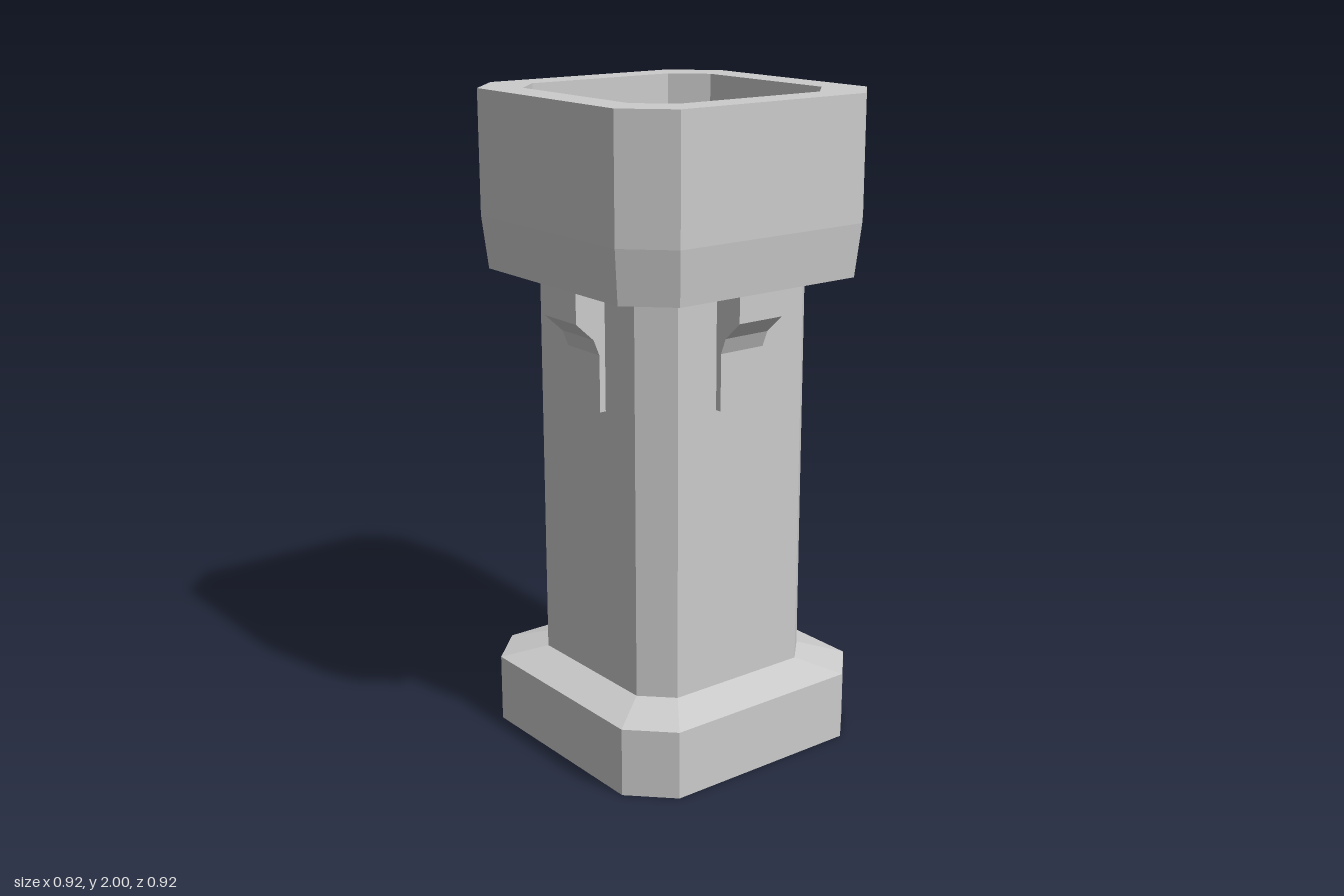
import * as THREE from 'three';

const material = new THREE.MeshStandardMaterial({
  color: 0xcccccc, flatShading: true, side: THREE.DoubleSide,
});

// Square with cut corners: half width a, half length of each straight side c
function octagon([a, c, y]) {
  return [[a, c], [c, a], [-c, a], [-a, c], [-a, -c], [-c, -a], [c, -a], [a, -c]]
    .map(([x, z]) => [x, y, z]);
}

// Shell joining a stack of octagons, each [half width, half side, height]
function shell(name, sections) {
  const rings = sections.map(octagon);
  const positions = [];
  for (let r = 0; r < rings.length - 1; r++) {
    for (let i = 0; i < 8; i++) {
      const j = (i + 1) % 8;
      const lower = rings[r], upper = rings[r + 1];
      positions.push(...lower[j], ...lower[i], ...upper[i]);
      positions.push(...lower[j], ...upper[i], ...upper[j]);
    }
  }
  const geometry = new THREE.BufferGeometry();
  geometry.setAttribute('position', new THREE.Float32BufferAttribute(positions, 3));
  geometry.computeVertexNormals();
  const mesh = new THREE.Mesh(geometry, material);
  mesh.name = name;
  return mesh;
}

// Support bracket: side profile (outward, up) extruded across its width
function bracketGeometry() {
  const profile = [[0.31, 1.115], [0.34, 1.115], [0.34, 1.285], [0.36, 1.333],
    [0.42, 1.387], [0.42, 1.485], [0.31, 1.485]];
  const shape = new THREE.Shape(profile.map(([x, y]) => new THREE.Vector2(x, y)));
  const width = 0.156;
  const geometry = new THREE.ExtrudeGeometry(shape, { depth: width, bevelEnabled: false });
  geometry.translate(0, 0, -width / 2);
  return geometry;
}

export function createModel() {
  const tower = new THREE.Group();
  tower.name = 'tower';

  // Hollow base with a sloped shoulder, open underneath
  tower.add(shell('base', [[0.442, 0.322, 0], [0.442, 0.322, 0.212], [0.32, 0.233, 0.25]]));

  tower.add(shell('column', [[0.32, 0.233, 0.25], [0.32, 0.233, 1.47]]));

  // Parapet: underside, flared wall, rim, inner wall and floor
  tower.add(shell('parapet', [
    [0.32, 0.233, 1.47], [0.442, 0.322, 1.47], [0.458, 0.333, 1.63],
    [0.458, 0.333, 2], [0.35, 0.255, 2], [0.35, 0.255, 1.715],
  ]));
  const [a, c] = [0.35, 0.255];
  const floorShape = new THREE.Shape(octagon([a, c, 0]).map(([x, , z]) => new THREE.Vector2(x, z)));
  const floor = new THREE.Mesh(new THREE.ShapeGeometry(floorShape), material);
  floor.name = 'parapetFloor';
  floor.rotation.x = -Math.PI / 2;
  floor.position.y = 1.715;
  tower.add(floor);

  // One bracket per side, slightly off centre; the front one sits a little lower
  const geometry = bracketGeometry();
  ['left', 'back', 'right', 'front'].forEach((side, i) => {
    const bracket = new THREE.Mesh(geometry, material);
    bracket.name = side + 'Bracket';
    bracket.rotation.y = i * Math.PI / 2;
    const alongX = i % 2 === 1;
    bracket.position.set(alongX ? 0.015 : 0, side === 'front' ? -0.015 : 0, alongX ? 0 : 0.015);
    tower.add(bracket);
  });

  return tower;
}
